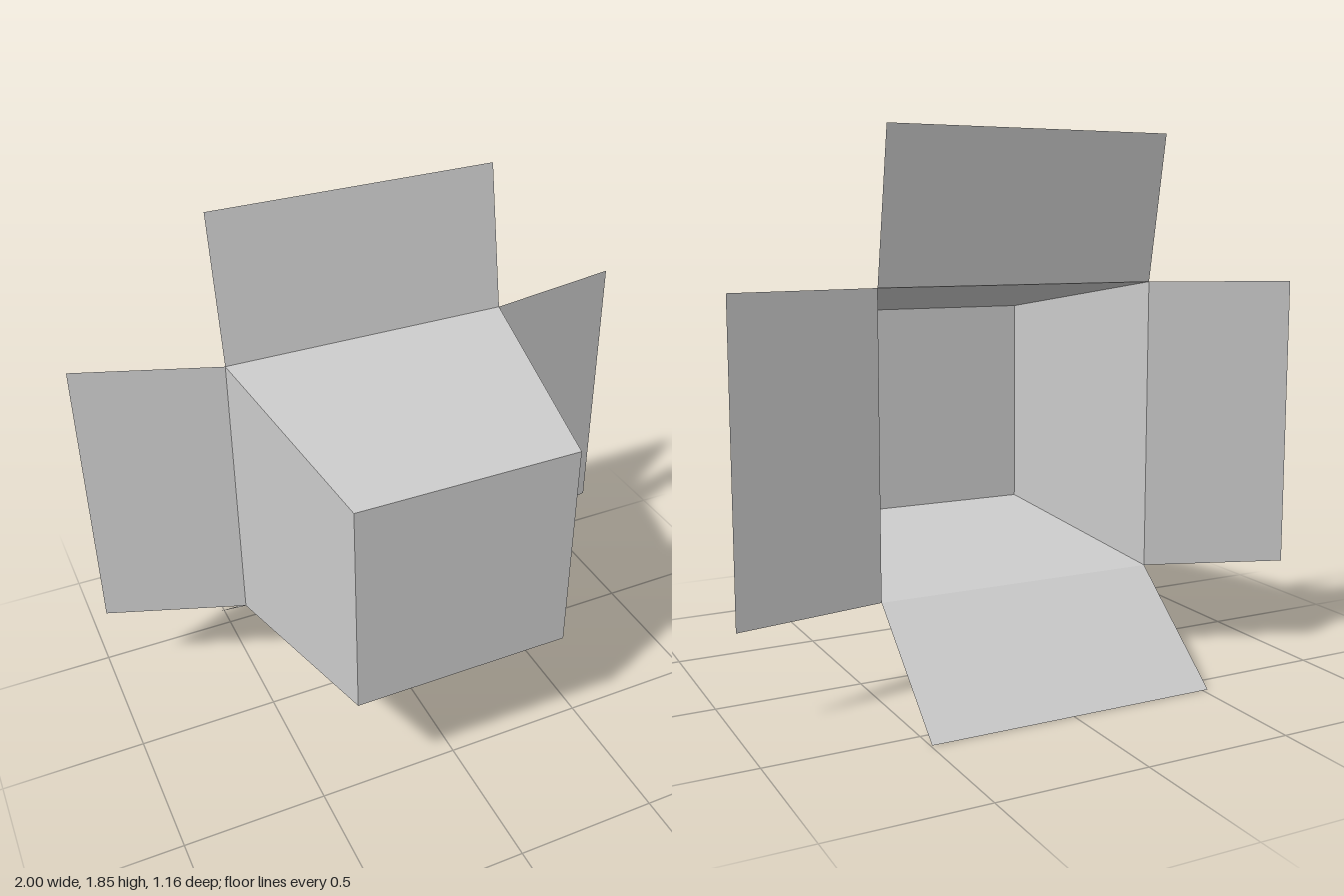
import * as THREE from 'three';

const material = new THREE.MeshStandardMaterial({ color: 0xcccccc, flatShading: true, side: THREE.DoubleSide });

// Flat four-cornered sheet, corners counter-clockwise seen from outside
function panel(name, a, b, c, d) {
  const geometry = new THREE.BufferGeometry();
  geometry.setAttribute('position', new THREE.Float32BufferAttribute([a, b, c, a, c, d].flat(), 3));
  geometry.computeVertexNormals();
  const mesh = new THREE.Mesh(geometry, material);
  mesh.name = name;
  return mesh;
}

// Corners of an upright rectangle: bottom left, bottom right, top right, top left
const rectangle = (x0, x1, y0, y1, z) => [[x0, y0, z], [x1, y0, z], [x1, y1, z], [x0, y1, z]];

export function createModel() {
  const box = new THREE.Group();
  box.name = 'openBox';

  // Closed base faces the front, wider open rim faces the back
  const base = rectangle(-0.397, 0.373, 0.459, 1.229, 0.577);
  const rim = rectangle(-0.52, 0.495, 0.335, 1.351, -0.187);
  box.add(panel('base', ...base));

  // Each side has a tapered wall and a flap folded outward from the rim
  const sides = [
    { name: 'bottom', fold: [0, -0.335, -0.392] },
    { name: 'left', fold: [0.505, 0, -0.09] },
    { name: 'top', fold: [0, 0.5, -0.09] },
    { name: 'right', fold: [-0.48, 0, -0.175] },
  ];
  sides.forEach(({ name, fold }, i) => {
    const j = (i + 1) % 4;
    const outer = (p) => p.map((v, k) => v + fold[k]);
    box.add(panel(name + 'Wall', base[j], base[i], rim[i], rim[j]));
    box.add(panel(name + 'Flap', rim[j], rim[i], outer(rim[i]), outer(rim[j])));
  });
  return box;
}
